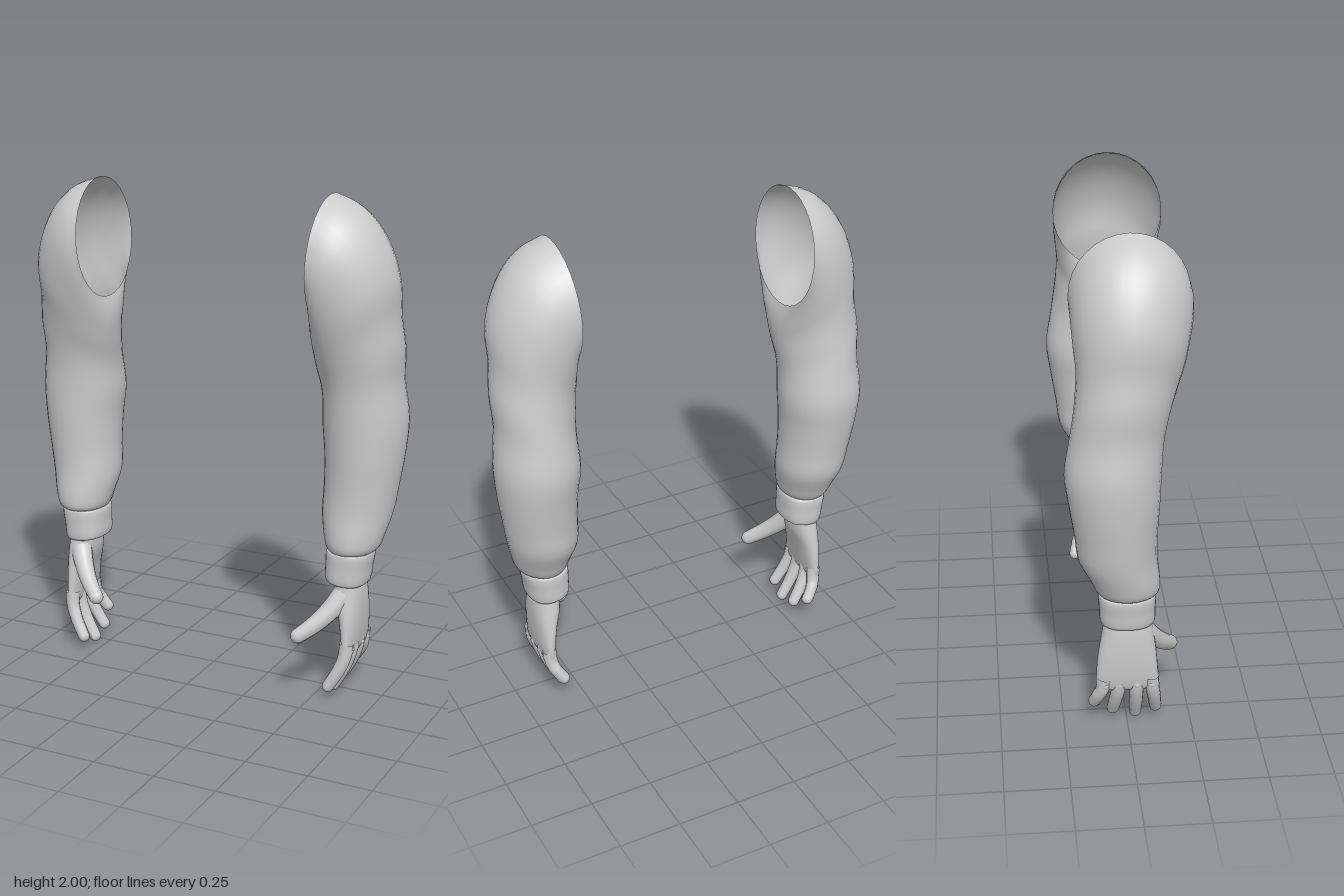
import * as THREE from 'three';

const material = new THREE.MeshStandardMaterial({ color: 0xcccccc, side: THREE.DoubleSide });

// Skins smooth rings between stations [outerX, outerY, innerX, innerY, zMin, zMax].
// s mirrors in x, pow squares off the section, wrap grows the radius once around.
function loft(rows, s, { sub = 3, seg = 28, pow = 1, wrap = 0 } = {}) {
  const outer = new THREE.CatmullRomCurve3(rows.map(r => new THREE.Vector3(r[0], r[1], r[5])));
  const inner = new THREE.CatmullRomCurve3(rows.map(r => new THREE.Vector3(r[2], r[3], r[4])));
  const n = (rows.length - 1) * sub;
  const pos = [], index = [];
  const soft = v => Math.sign(v) * Math.pow(Math.abs(v), pow);
  for (let j = 0; j <= n; j++) {
    const a = outer.getPoint(j / n), b = inner.getPoint(j / n);
    for (let i = 0; i < seg; i++) {
      const t = (i / seg) * Math.PI * 2;
      const grow = 1 + wrap * (((i / seg) + 0.35) % 1);
      const c = soft(Math.cos(t)) * grow, d = soft(Math.sin(t)) * grow;
      pos.push(
        s * ((a.x + b.x) / 2 + c * (a.x - b.x) / 2),
        (a.y + b.y) / 2 + c * (a.y - b.y) / 2,
        (a.z + b.z) / 2 + d * (a.z - b.z) / 2);
      if (j === n) continue;
      const p = j * seg + i, q = j * seg + (i + 1) % seg;
      if (s > 0) index.push(p, q, p + seg, q, q + seg, p + seg);
      else index.push(p, p + seg, q, q, p + seg, q + seg);
    }
  }
  const g = new THREE.BufferGeometry();
  g.setAttribute('position', new THREE.Float32BufferAttribute(pos, 3));
  g.setIndex(index);
  g.computeVertexNormals();
  return g;
}

// Tapered tube with a rounded tip, for fingers and thumb
function digit(points, r0, r1, s) {
  const curve = new THREE.CatmullRomCurve3(points.map(p => new THREE.Vector3(s * p[0], p[1], p[2])));
  const n = 24, seg = 12, round = r1 / curve.getLength();
  const g = new THREE.TubeGeometry(curve, n, 1, seg);
  const pos = g.attributes.position, v = new THREE.Vector3();
  for (let i = 0; i <= n; i++) {
    // Rings crowd toward the tip so that it stays round
    const t = Math.sin((i / n) * Math.PI / 2);
    const k = Math.max(0, (t - 1 + round) / round);
    const r = THREE.MathUtils.lerp(r0, r1, t) * Math.sqrt(Math.max(0, 1 - k * k));
    const from = curve.getPointAt(i / n), to = curve.getPointAt(t);
    for (let j = 0; j <= seg; j++) {
      const id = i * (seg + 1) + j;
      v.fromBufferAttribute(pos, id).sub(from).multiplyScalar(r).add(to);
      pos.setXYZ(id, v.x, v.y, v.z);
    }
  }
  g.computeVertexNormals();
  return g;
}

// Sleeve: slanted shoulder opening turning into level rings, elbow, gathered wrist
const SLEEVE = [
  [0.50, 2.00, 0.468, 1.52, -0.21, 0.235],
  [0.585, 1.97, 0.457, 1.49, -0.207, 0.24],
  [0.66, 1.91, 0.45, 1.46, -0.205, 0.235],
  [0.725, 1.81, 0.447, 1.42, -0.20, 0.22],
  [0.765, 1.68, 0.449, 1.38, -0.192, 0.20],
  [0.767, 1.55, 0.455, 1.32, -0.196, 0.172],
  [0.782, 1.42, 0.463, 1.26, -0.207, 0.145],
  [0.777, 1.29, 0.465, 1.20, -0.222, 0.128],
  [0.795, 1.14, 0.461, 1.11, -0.24, 0.12],
  [0.787, 1.00, 0.472, 1.00, -0.225, 0.115],
  [0.768, 0.86, 0.475, 0.86, -0.203, 0.108],
  [0.752, 0.76, 0.472, 0.76, -0.19, 0.11],
  [0.73, 0.67, 0.49, 0.67, -0.145, 0.12],
  [0.712, 0.62, 0.505, 0.62, -0.122, 0.118],
  [0.685, 0.60, 0.52, 0.605, -0.105, 0.10],
  [0.65, 0.60, 0.55, 0.605, -0.08, 0.08],
];

// Cuff: band with rounded lips
const CUFF = [
  [0.65, 0.59, 0.55, 0.59, -0.08, 0.08],
  [0.68, 0.605, 0.52, 0.608, -0.105, 0.10],
  [0.69, 0.595, 0.512, 0.60, -0.113, 0.105],
  [0.683, 0.535, 0.51, 0.545, -0.111, 0.104],
  [0.676, 0.48, 0.51, 0.49, -0.108, 0.103],
  [0.667, 0.468, 0.52, 0.478, -0.10, 0.096],
  [0.64, 0.48, 0.56, 0.485, -0.07, 0.07],
];

// Palm: wrist to knuckles, closed below
const PALM = [
  [0.655, 0.51, 0.555, 0.51, -0.085, 0.085],
  [0.664, 0.42, 0.552, 0.42, -0.103, 0.10],
  [0.664, 0.34, 0.575, 0.34, -0.117, 0.11],
  [0.659, 0.26, 0.592, 0.26, -0.124, 0.116],
  [0.65, 0.205, 0.603, 0.205, -0.124, 0.12],
  [0.642, 0.185, 0.613, 0.185, -0.112, 0.11],
  [0.629, 0.178, 0.627, 0.178, -0.01, 0.01],
];

// Fingers: base z, tip x, tip y, tip z
const FINGERS = [
  ['indexFinger', 0.09, 0.55, 0.03, 0.117],
  ['middleFinger', 0.033, 0.542, 0.003, 0.035],
  ['ringFinger', -0.033, 0.548, 0.026, -0.057],
  ['littleFinger', -0.092, 0.57, 0.08, -0.134],
];

function createArm(s, side) {
  const arm = new THREE.Group();
  arm.name = side + 'Arm';
  const add = (name, geometry) => {
    const mesh = new THREE.Mesh(geometry, material);
    mesh.name = name;
    arm.add(mesh);
    return mesh;
  };
  add('sleeve', loft(SLEEVE, s, { seg: 32 }));
  add('cuff', loft(CUFF, s, { pow: 0.85, wrap: 0.03, seg: 36 }));
  add('palm', loft(PALM, s, { pow: 0.85 }));
  add('thumb', digit([[0.605, 0.44, 0.05], [0.56, 0.37, 0.1], [0.51, 0.315, 0.145], [0.437, 0.257, 0.197]], 0.046, 0.028, s));
  for (const [name, z, tx, ty, tz] of FINGERS) {
    const mid = [(0.628 + tx) / 2 + 0.012, (0.21 + ty) / 2, z + (tz - z) * 0.55];
    add(name, digit([[0.628, 0.235, z], [0.623, 0.18, z + (tz - z) * 0.2], mid, [tx, ty, tz]], 0.029, 0.024, s));
    // Knuckle bump on the back of the hand
    add(name + 'Knuckle', new THREE.SphereGeometry(0.014, 12, 8)).position.set(s * 0.643, 0.205, z);
  }
  return arm;
}

export function createModel() {
  const model = new THREE.Group();
  model.name = 'armPair';
  model.add(createArm(1, 'left'), createArm(-1, 'right'));
  return model;
}
